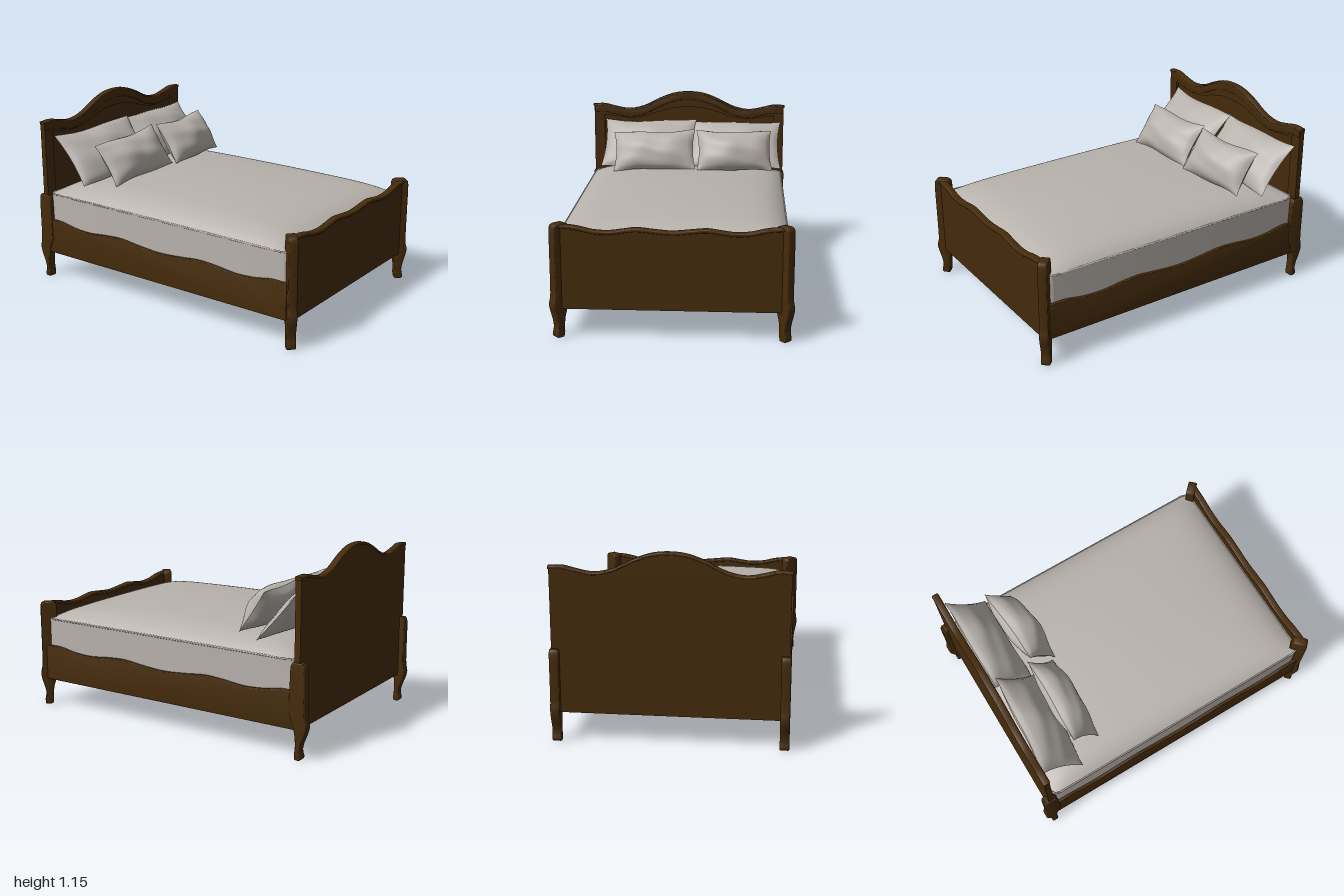
import * as THREE from 'three';
import { toCreasedNormals, mergeVertices } from 'three/addons/utils/BufferGeometryUtils.js';

const wood = new THREE.MeshStandardMaterial({ color: 0x452b0b });
wood.name = 'dark wood';
const linen = new THREE.MeshStandardMaterial({ color: 0xb8b2ac });
linen.name = 'linen';

const V2 = (x, y) => new THREE.Vector2(x, y);

function add(parent, name, geometry, material) {
  const mesh = new THREE.Mesh(geometry, material);
  mesh.name = name;
  parent.add(mesh);
  return mesh;
}

// Symmetric wavy line given by its right half, starting at x = 0
function wave(half) {
  const left = half.slice(1).reverse().map(([x, y]) => V2(-x, y));
  return new THREE.SplineCurve([...left, ...half.map(([x, y]) => V2(x, y))]).getPoints(72);
}

// Shape between a wavy top line and a flat bottom
function boardShape(line, bottom) {
  const first = line[0], last = line[line.length - 1];
  return new THREE.Shape([V2(first.x, bottom), V2(last.x, bottom), ...line.slice().reverse()]);
}

// Band of constant height hanging under a wavy line
function bandShape(line, height) {
  return new THREE.Shape([...line.map(p => V2(p.x, p.y - height)), ...line.slice().reverse()]);
}

// Extrusion centred on its own depth, with an optional soft edge
function slab(shape, depth, bevel = 0) {
  const geo = new THREE.ExtrudeGeometry(shape, {
    depth: depth - 2 * bevel, bevelEnabled: bevel > 0, bevelSize: bevel,
    bevelThickness: bevel, bevelOffset: -bevel, bevelSegments: 3, curveSegments: 8
  });
  geo.translate(0, 0, -depth / 2 + bevel);
  return toCreasedNormals(geo, 0.6);
}

// Post with a curved leg; profile is [distance outward, height]
function postGeometry(outer, inner, width) {
  const smooth = pts => new THREE.SplineCurve(pts.map(([u, y]) => V2(u, y))).getPoints(36);
  return slab(new THREE.Shape([...smooth(outer), ...smooth(inner)]), width, 0.007);
}

function roundedRect(x0, x1, y0, y1, r) {
  const s = new THREE.Shape();
  s.moveTo(x0 + r, y0);
  s.lineTo(x1 - r, y0);
  s.absarc(x1 - r, y0 + r, r, -Math.PI / 2, 0);
  s.absarc(x1 - r, y1 - r, r, 0, Math.PI / 2);
  s.absarc(x0 + r, y1 - r, r, Math.PI / 2, Math.PI);
  s.absarc(x0 + r, y0 + r, r, Math.PI, Math.PI * 1.5);
  return s;
}

// Two puffed sheets with pinched corners, bowed edges and soft folds
function makePillow(w, h, thick, seed) {
  const pillow = new THREE.Group();
  for (const side of [1, -1]) {
    const geo = new THREE.PlaneGeometry(2, 2, 32, 24);
    const p = geo.attributes.position;
    for (let i = 0; i < p.count; i++) {
      // reversing u turns the back sheet to face backward
      const u = p.getX(i) * side, v = p.getY(i);
      const edge = (1 - u * u) * (1 - v * v);
      const fold = 0.008 * Math.sin(5 * u + 3 * v + seed) * Math.sin(4 * v - 2 * u + seed * 2);
      const x = u * w / 2 * (1 - 0.06 * (1 - v * v));
      const y = v * h / 2 * (1 - 0.08 * (1 - u * u)) + 0.005 * Math.sin(4 * u + seed);
      p.setXYZ(i, x, y, side * (thick / 2 * Math.pow(edge, 0.6) + fold * Math.sqrt(edge)));
    }
    geo.computeVertexNormals();
    add(pillow, side > 0 ? 'pillowFront' : 'pillowBack', geo, linen);
  }
  return pillow;
}

export function createModel() {
  const bed = new THREE.Group();
  bed.name = 'bed';

  // Headboard: flat back panel, raised frame and crown moulding
  const headboard = new THREE.Group();
  headboard.name = 'headboard';
  bed.add(headboard);
  const crest = wave([[0, 1.15], [0.1, 1.14], [0.2, 1.105], [0.3, 1.055], [0.38, 1.03],
    [0.45, 1.025], [0.53, 1.04], [0.61, 1.058], [0.69, 1.055]]);
  const body = crest.map(p => V2(p.x * 0.99, p.y - 0.01));
  add(headboard, 'headPanel', slab(boardShape(body, 0.18), 0.018), wood).position.z = -0.941;
  const frame = boardShape(body, 0.18);
  const opening = wave([[0, 1.04], [0.1, 1.033], [0.2, 1.008], [0.3, 0.975], [0.4, 0.957],
    [0.5, 0.965], [0.61, 0.98]]);
  frame.holes.push(boardShape(opening, 0.4));
  add(headboard, 'headFrame', slab(frame, 0.018), wood).position.z = -0.923;
  const crownLine = crest.map(p => V2(p.x * 0.985, p.y - 0.01));
  add(headboard, 'crownMoulding', slab(bandShape(crownLine, 0.05), 0.016, 0.004), wood).position.z = -0.918;
  add(headboard, 'crownBead', slab(bandShape(crest, 0.018), 0.044, 0.008), wood).position.z = -0.931;

  // Footboard with wavy cap
  const footboard = new THREE.Group();
  footboard.name = 'footboard';
  bed.add(footboard);
  const footTop = wave([[0, 0.648], [0.1, 0.656], [0.2, 0.665], [0.28, 0.655], [0.36, 0.645],
    [0.45, 0.65], [0.55, 0.672], [0.645, 0.68]]);
  add(footboard, 'footPanel', slab(boardShape(footTop.map(p => V2(p.x, p.y - 0.008)), 0.175), 0.032),
    wood).position.z = 0.945;
  add(footboard, 'footCap', slab(bandShape(footTop, 0.022), 0.044, 0.008), wood).position.z = 0.947;

  // Side rails with wavy top edge
  const railTop = wave([[0, 0.372], [0.16, 0.382], [0.3, 0.396], [0.43, 0.39], [0.57, 0.376],
    [0.7, 0.382], [0.82, 0.402], [0.93, 0.4]]);
  const railGeo = slab(boardShape(railTop, 0.175), 0.03, 0.004).rotateY(Math.PI / 2);
  for (const s of [1, -1]) {
    add(bed, s > 0 ? 'leftRail' : 'rightRail', railGeo, wood).position.x = s * 0.67;
  }

  // Front corner posts set diagonally, rear posts set straight
  const frontPost = postGeometry(
    [[-0.006, 0], [0.036, 0], [0.042, 0.015], [0.04, 0.035], [0.035, 0.065], [0.042, 0.11], [0.058, 0.165],
      [0.064, 0.205], [0.054, 0.25], [0.052, 0.32], [0.052, 0.5], [0.052, 0.63], [0.046, 0.672], [0.025, 0.684]],
    [[-0.025, 0.684], [-0.046, 0.672], [-0.052, 0.63], [-0.052, 0.5], [-0.052, 0.32], [-0.052, 0.24],
      [-0.036, 0.18], [-0.018, 0.12], [-0.012, 0.07], [-0.012, 0.03]], 0.056);
  const rearPost = postGeometry(
    [[0.925, 0], [0.955, 0], [0.965, 0.015], [0.96, 0.035], [0.956, 0.06], [0.965, 0.1], [0.985, 0.15],
      [0.997, 0.2], [0.988, 0.25], [0.985, 0.32], [0.985, 0.45], [0.983, 0.54], [0.97, 0.568]],
    [[0.905, 0.568], [0.892, 0.54], [0.888, 0.45], [0.885, 0.32], [0.888, 0.26], [0.905, 0.22],
      [0.92, 0.16], [0.927, 0.09], [0.922, 0.03]], 0.056);
  for (const s of [1, -1]) {
    const side = s > 0 ? 'Left' : 'Right';
    const front = add(bed, 'front' + side + 'Post', frontPost, wood);
    front.position.set(s * 0.645, 0, 0.935);
    front.rotation.y = s > 0 ? -Math.PI / 4 : -Math.PI * 0.75;
    const rear = add(bed, 'rear' + side + 'Post', rearPost, wood);
    rear.position.x = s * 0.664;
    rear.rotation.y = Math.PI / 2;
  }

  // Mattress body, its underside set up inside the rails
  const outline = roundedRect(-0.667, 0.667, -0.925, 0.912, 0.04);
  const core = new THREE.ExtrudeGeometry(outline, { depth: 0.307, bevelEnabled: false });
  core.rotateX(-Math.PI / 2).translate(0, 0.27, 0);
  add(bed, 'mattress', toCreasedNormals(core, 0.6), linen);

  // Piped seam around the mattress
  const ring = outline.getSpacedPoints(120).slice(0, -1).map(p => new THREE.Vector3(p.x, 0.577, -p.y));
  add(bed, 'mattressPiping',
    new THREE.TubeGeometry(new THREE.CatmullRomCurve3(ring, true), 160, 0.006, 6, true), linen);

  // Softly domed top cover
  const cover = new THREE.PlaneGeometry(2, 2, 48, 64).rotateX(-Math.PI / 2);
  const c = cover.attributes.position;
  for (let i = 0; i < c.count; i++) {
    // crowd the grid toward the rim, where the curve is tightest
    const u = Math.sin(c.getX(i) * Math.PI / 2), v = Math.sin(c.getZ(i) * Math.PI / 2);
    const rim = (1 - Math.pow(Math.abs(u), 10)) * (1 - Math.pow(Math.abs(v), 10));
    const dome = (1 - u * u) * (1 - v * v);
    c.setXYZ(i, u * 0.667 * (1 - 0.018 * Math.pow(v, 20)), 0.578 + 0.068 * rim + 0.044 * dome,
      0.0065 + v * 0.9185 * (1 - 0.013 * Math.pow(u, 20)));
  }
  cover.deleteAttribute('normal');
  cover.deleteAttribute('uv');
  const coverGeo = mergeVertices(cover);
  coverGeo.computeVertexNormals();
  add(bed, 'mattressTop', coverGeo, linen);

  // Pillows: name, width, height, thickness, position, lean, yaw, roll
  const pillows = [
    ['rearRightPillow', 0.66, 0.39, 0.15, [-0.275, 0.805, -0.765], -0.72, -0.09, 0.03],
    ['rearLeftPillow', 0.65, 0.38, 0.15, [0.335, 0.8, -0.775], -0.72, 0.01, -0.01],
    ['frontRightPillow', 0.57, 0.3, 0.18, [-0.22, 0.79, -0.565], -0.6, -0.04, 0.05],
    ['frontLeftPillow', 0.52, 0.3, 0.2, [0.335, 0.795, -0.555], -0.58, 0.08, -0.01]
  ];
  pillows.forEach(([name, w, h, t, pos, lean, yaw, roll], i) => {
    const pillow = makePillow(w, h, t, i * 1.7);
    pillow.name = name;
    pillow.position.set(...pos);
    pillow.rotation.set(lean, yaw, roll, 'YXZ');
    bed.add(pillow);
  });

  return bed;
}
